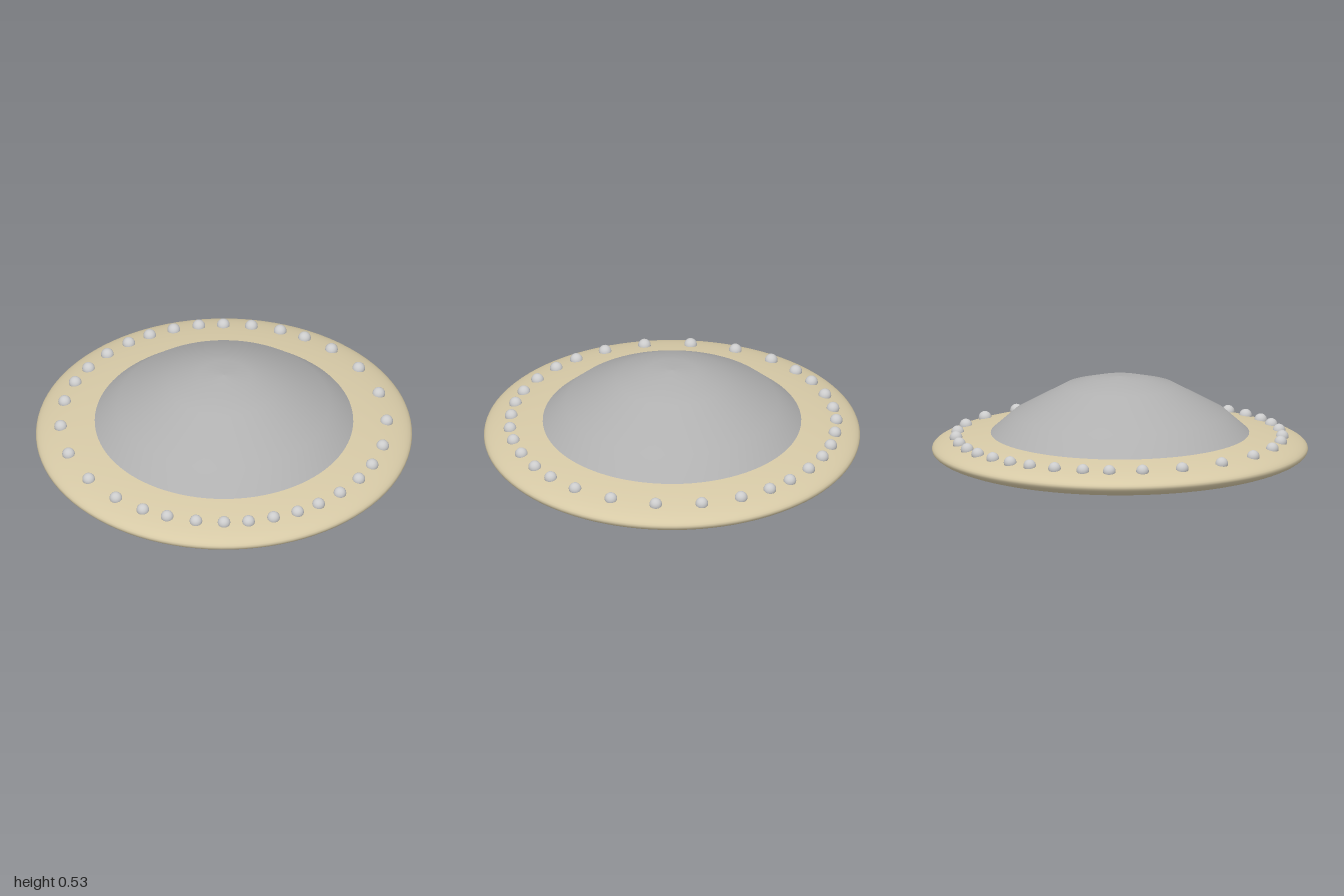
import * as THREE from 'three';

const V = (x, y) => new THREE.Vector2(x, y);

export function createModel() {
  const group = new THREE.Group();
  const hullMat = new THREE.MeshStandardMaterial({ color: 0xd6c9a6 });
  const domeMat = new THREE.MeshStandardMaterial({ color: 0xb0b0b0 });
  const greyMat = new THREE.MeshStandardMaterial({ color: 0xcccccc });

  const add = (name, geometry, material) => {
    const mesh = new THREE.Mesh(geometry, material);
    mesh.name = name;
    group.add(mesh);
    return mesh;
  };

  // Flattened saucer hull: elliptical above and below the rim
  const rimY = 0.138, topH = 0.122, bottomH = 0.134;
  const hullY = (r) => rimY + topH * Math.sqrt(1 - r * r);
  const hullProfile = [];
  const steps = 40;
  for (let i = 0; i <= steps; i++) {
    const a = -Math.PI / 2 + (Math.PI * i) / steps;
    const h = a < 0 ? bottomH : topH;
    const r = i === 0 || i === steps ? 0 : Math.cos(a);
    hullProfile.push(V(r, rimY + h * Math.sin(a)));
  }
  add('hull', new THREE.LatheGeometry(hullProfile, 96), hullMat);

  // Central dome with straight flanks and a softly rounded crown
  const domeProfile = [
    V(0.69, 0.224), V(0.565, 0.334), V(0.295, 0.482), V(0.14, 0.521), V(0, 0.533),
  ];
  add('dome', new THREE.LatheGeometry(domeProfile, 96), domeMat);

  // Ring of domed rivets, mirrored from one quadrant
  const quadrant = [
    [0, 0.865], [0.137, 0.857], [0.264, 0.826], [0.402, 0.768], [0.535, 0.682],
    [0.64, 0.586], [0.745, 0.444], [0.832, 0.243], [0.866, 0],
  ];
  const rivetGeo = new THREE.SphereGeometry(0.034, 20, 12);
  const rivets = new THREE.Group();
  rivets.name = 'rivets';
  group.add(rivets);
  for (const [x, z] of quadrant) {
    for (const sx of x ? [1, -1] : [1]) {
      for (const sz of z ? [1, -1] : [1]) {
        const rivet = new THREE.Mesh(rivetGeo, greyMat);
        rivet.name = 'rivet';
        rivet.position.set(sx * x, hullY(Math.hypot(x, z)) + 0.004, sz * z - 0.006);
        rivets.add(rivet);
      }
    }
  }

  return group;
}
